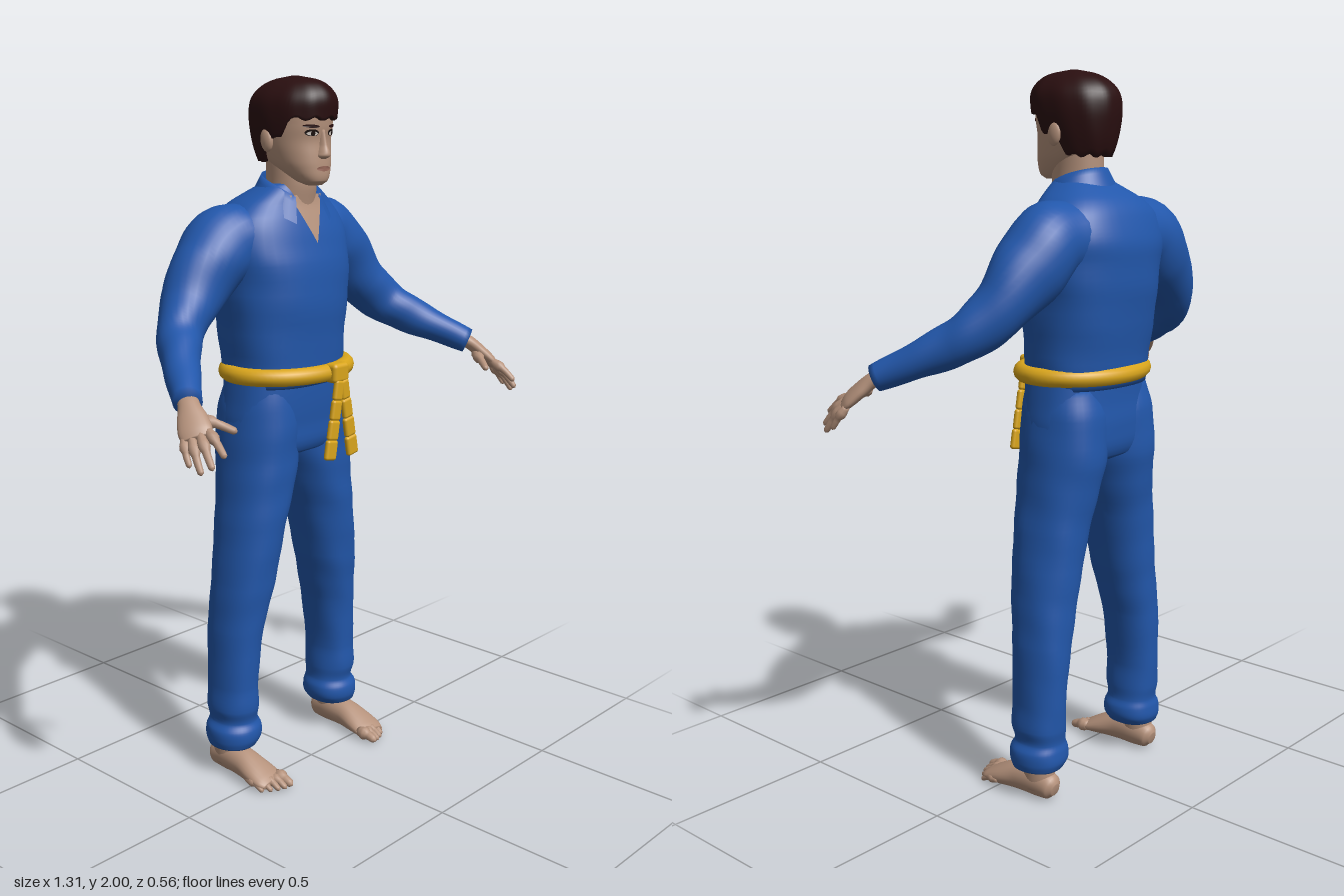
import * as THREE from 'three';
import { RoundedBoxGeometry } from 'three/addons/geometries/RoundedBoxGeometry.js';

const V = (x, y, z) => new THREE.Vector3(x, y, z);
const { lerp, smoothstep } = THREE.MathUtils;

// Grid surface from fn(u, v); wraps around u, with optional end caps
function grid(nu, nv, fn, wrap = true, caps = wrap) {
  const pos = [], idx = [], w = wrap ? nu : nu + 1;
  for (let j = 0; j <= nv; j++) for (let i = 0; i < w; i++) pos.push(...fn(i / nu, j / nv).toArray());
  for (let j = 0; j < nv; j++) for (let i = 0; i < nu; i++) {
    const a = j * w + i, b = j * w + (i + 1) % w;
    idx.push(a, b, b + w, a, b + w, a + w);
  }
  if (caps) for (const j of [0, nv]) {
    const c = V(0, 0, 0), k = pos.length / 3;
    for (let i = 0; i < w; i++) c.add(fn(i / nu, j / nv));
    pos.push(...c.divideScalar(w).toArray());
    for (let i = 0; i < w; i++) {
      const a = j * w + i, b = j * w + (i + 1) % w;
      j ? idx.push(a, b, k) : idx.push(b, a, k);
    }
  }
  const g = new THREE.BufferGeometry();
  g.setAttribute('position', new THREE.Float32BufferAttribute(pos, 3));
  g.setIndex(idx);
  g.computeVertexNormals();
  return g;
}

// Smooth interpolation of rows [y, x0, x1, z0, z1] at height y
function at(rows, y) {
  let i = 0;
  while (i < rows.length - 2 && y > rows[i + 1][0]) i++;
  const p = rows[i], q = rows[i + 1], o = rows[i - 1] || p, r = rows[i + 2] || q;
  const h = q[0] - p[0], t = (y - p[0]) / h, t2 = t * t, t3 = t2 * t;
  return p.map((_, k) => (2 * t3 - 3 * t2 + 1) * p[k] + (3 * t2 - 2 * t3) * q[k]
    + (t3 - 2 * t2 + t) * h * (q[k] - o[k]) / (q[0] - o[0]) + (t3 - t2) * h * (r[k] - p[k]) / (r[0] - p[0]));
}

// Point on the rounded outline at height y; angle 0 is the front
function ringPoint(rows, y, ang, n, k = 1) {
  const [, x0, x1, z0, z1] = at(rows, y), s = Math.sin(ang), c = Math.cos(ang);
  const f = v => Math.sign(v) * Math.abs(v) ** (2 / n) * k / 2;
  return V((x0 + x1) / 2 + f(s) * (x1 - x0), y, (z0 + z1) / 2 + f(c) * (z1 - z0));
}

// Upright body part from rows, with slight cloth folds
function stack(rows, n = 2.2, fold = 0, sub = 5) {
  const nv = (rows.length - 1) * sub;
  return grid(40, nv, (u, v) => {
    const j = Math.round(v * nv), i = Math.min(Math.floor(j / sub), rows.length - 2);
    const y = lerp(rows[i][0], rows[i + 1][0], j / sub - i), a = u * Math.PI * 2;
    return ringPoint(rows, y, a, n, 1 + fold * Math.sin(3 * a + 38 * y) * Math.sin(2 * a - 17 * y));
  });
}

// Limb along a path of [x, y, z, a, b]; a is the radius along the side axis
function limb(rows, side, nu = 24, nv = rows.length * 5, fold = 0) {
  const path = new THREE.CatmullRomCurve3(rows.map(r => V(r[0], r[1], r[2])));
  const rad = new THREE.CatmullRomCurve3(rows.map(r => V(r[3], r[4], 0)));
  return grid(nu, nv, (u, v) => {
    const T = path.getTangent(v), U = side.clone().addScaledVector(T, -side.dot(T)).normalize();
    const W = T.clone().cross(U), r = rad.getPoint(v), a = u * Math.PI * 2;
    const k = 1 + fold * Math.sin(2 * a + v * 34);
    return path.getPoint(v).addScaledVector(U, Math.cos(a) * r.x * k).addScaledVector(W, Math.sin(a) * r.y * k);
  });
}

// Finger or toe with rounded tip
function digit(p, m, q, r) {
  const e = V(...q).sub(V(...m)).normalize().multiplyScalar(r * 0.6).add(V(...q));
  return limb([[...p, r, r], [...m, r, r], [...q, r * 0.8, r * 0.8], [...e.toArray(), r * 0.25, r * 0.25]], V(0.7, 0.2, -0.7), 10, 12);
}

// Lay a flat shape over the front of a stacked part
function drape(g, rows, n, lift) {
  const p = g.attributes.position;
  for (let i = 0; i < p.count; i++) {
    const [, , a, z0, z1] = at(rows, p.getY(i)), x = Math.min(Math.abs(p.getX(i) / a), 1);
    p.setZ(i, (z0 + z1) / 2 + (z1 - z0) / 2 * (1 - x ** n) ** (1 / n) + lift);
  }
  g.computeVertexNormals();
  return g;
}

function mirror(g) {
  const m = g.clone().scale(-1, 1, 1), ix = m.index.array;
  for (let i = 0; i < ix.length; i += 3) [ix[i], ix[i + 1]] = [ix[i + 1], ix[i]];
  return m;
}

export function createModel() {
  const model = new THREE.Group();
  const mat = (name, color, side = THREE.FrontSide) => Object.assign(new THREE.MeshStandardMaterial({ color, side }), { name });
  const cloth = mat('blue cloth', 0x2257ab, THREE.DoubleSide), skin = mat('skin', 0xb5927c, THREE.DoubleSide);
  const yellow = mat('yellow belt', 0xd9a51c), hairMat = mat('dark brown hair', 0x2a0f10, THREE.DoubleSide);
  const lip = mat('lips', 0x96685a), white = mat('eye white', 0xd8d0c8), dark = mat('pupil', 0x1c1210);
  const add = (name, g, m) => {
    const mesh = new THREE.Mesh(g, m);
    mesh.name = name;
    model.add(mesh);
    return mesh;
  };
  const pair = (name, g, m) => { add('left' + name, g, m); add('right' + name, mirror(g), m); };
  const sym = rows => rows.map(([y, a, z0, z1]) => [y, -a, a, z0, z1]);

  // Jacket and trousers
  const torso = sym([[1.16, 0.185, -0.245, 0.03], [1.25, 0.19, -0.255, 0.03], [1.4, 0.203, -0.275, 0.04], [1.5, 0.215, -0.28, 0.032],
    [1.56, 0.22, -0.277, 0.018], [1.62, 0.2, -0.258, -0.002], [1.66, 0.16, -0.23, -0.016], [1.69, 0.115, -0.19, -0.022], [1.715, 0.075, -0.15, -0.03]]);
  add('jacketBody', stack(torso, 2.4, 0.012), cloth);
  add('hips', stack(sym([[0.945, 0.1, -0.18, -0.05], [0.97, 0.19, -0.225, 0.0], [1.05, 0.202, -0.238, 0.012], [1.12, 0.195, -0.235, 0.018], [1.2, 0.185, -0.235, 0.02]]), 2.5), cloth);
  pair('TrouserLeg', stack([[0.1, 0.175, 0.255, -0.17, -0.07], [0.092, 0.15, 0.282, -0.19, -0.045], [0.115, 0.135, 0.288, -0.2, -0.036],
    [0.145, 0.135, 0.287, -0.198, -0.036], [0.17, 0.145, 0.272, -0.192, -0.046], [0.21, 0.145, 0.278, -0.198, -0.038],
    [0.28, 0.15, 0.272, -0.2, -0.038], [0.44, 0.13, 0.268, -0.205, -0.03], [0.52, 0.11, 0.262, -0.205, -0.02],
    [0.6, 0.09, 0.255, -0.207, -0.01], [0.76, 0.055, 0.235, -0.215, 0.004], [0.87, 0.022, 0.22, -0.228, 0.01],
    [0.96, 0.002, 0.212, -0.242, 0.012], [1.08, 0.0, 0.2, -0.238, 0.012], [1.16, 0.02, 0.18, -0.22, 0.0]].slice(1), 2.2, 0.016), cloth);
  pair('Sleeve', limb([[0.06, 1.56, -0.14, 0.09, 0.09], [0.13, 1.565, -0.14, 0.1, 0.105], [0.2, 1.55, -0.142, 0.106, 0.104],
    [0.275, 1.485, -0.14, 0.1, 0.094], [0.355, 1.4, -0.12, 0.077, 0.074], [0.415, 1.34, -0.085, 0.066, 0.062],
    [0.46, 1.302, -0.035, 0.058, 0.055], [0.515, 1.262, 0.035, 0.047, 0.046], [0.575, 1.218, 0.118, 0.036, 0.038]], V(0, 1, 0), 28, 60, 0.025), cloth);

  // Open collar and bare chest
  const inner = [1.69, 0.05, 0.074, 0.076], top = [1.745, 0.065, 0.08, 0.078], outer = [1.685, 0.075, 0.118, 0.106];
  add('collar', grid(48, 8, (u, v) => {
    const ang = (u * 2 - 1) * 2.55, k = (u * 2 - 1) ** 2;
    const [y, drop, rx, rz] = top.map((t, i) => v < 0.5 ? lerp(inner[i], t, v * 2) : lerp(t, outer[i], v * 2 - 1));
    return V(Math.sin(ang) * rx, y - drop * k, -0.08 - Math.cos(ang) * rz);
  }, false), cloth);
  const chest = new THREE.PlaneGeometry(1, 0.13, 10, 12).translate(0, 1.62, 0);
  for (let i = 0, p = chest.attributes.position; i < p.count; i++) p.setX(i, p.getX(i) * (p.getY(i) - 1.555) * 0.95);
  add('openNeck', drape(chest, torso, 2.4, 0.005), skin);

  // Belt, knot and hanging ends
  const loop = [];
  for (let i = 0; i < 24; i++) {
    const a = i / 24 * Math.PI * 2;
    loop.push(V(Math.sin(a) * 0.19, 0, -0.096 + Math.cos(a) * 0.148));
  }
  add('belt', new THREE.TubeGeometry(new THREE.CatmullRomCurve3(loop, true), 72, 0.025, 12, true), yellow).position.y = 1.195;
  add('beltKnot', new RoundedBoxGeometry(0.062, 0.056, 0.045, 3, 0.012), yellow).position.set(0.032, 1.195, 0.068);
  for (const [name, x0, x1] of [['beltEndA', 0.02, -0.01], ['beltEndB', 0.046, 0.077]]) for (let i = 0; i < 4; i++) {
    const m = add(name, new RoundedBoxGeometry(0.034 + i * 0.003, 0.058, 0.017, 3, 0.008), yellow);
    m.position.set(lerp(x0, x1, i / 3), 1.147 - i * 0.056, 0.084);
    m.rotation.z = Math.atan2(x1 - x0, 0.17);
  }

  // Head and neck
  const head = sym([[1.712, 0.022, -0.01, 0.03], [1.725, 0.045, -0.05, 0.044], [1.76, 0.07, -0.115, 0.046], [1.79, 0.081, -0.15, 0.044],
    [1.83, 0.089, -0.17, 0.04], [1.87, 0.092, -0.18, 0.046], [1.92, 0.09, -0.175, 0.044], [1.96, 0.068, -0.15, 0.015], [1.98, 0.03, -0.1, -0.03]]);
  add('head', stack(head, 2.2), skin);
  add('neck', stack(sym([[1.6, 0.075, -0.15, -0.02], [1.66, 0.068, -0.148, -0.01], [1.72, 0.064, -0.15, 0.0], [1.8, 0.066, -0.15, -0.01]]), 2), skin);
  add('nose', stack(sym([[1.782, 0.008, 0.02, 0.05], [1.789, 0.019, 0.01, 0.063], [1.8, 0.017, 0.01, 0.064], [1.82, 0.011, 0.01, 0.056], [1.86, 0.008, 0.01, 0.047]]), 2), skin);
  pair('Ear', new THREE.SphereGeometry(1, 16, 12).scale(0.012, 0.032, 0.021).rotateX(-0.15).translate(0.096, 1.832, -0.075), skin);

  // Face details as thin plates
  const spot = (x, y, rx, ry, tilt, lift) =>
    drape(new THREE.CircleGeometry(1, 24).scale(rx, ry, 1).rotateZ(tilt).translate(x, y, 0), head, 2.2, lift);
  pair('EyeRim', spot(0.037, 1.852, 0.019, 0.009, 0.05, 0.002), dark);
  pair('EyeWhite', spot(0.037, 1.85, 0.015, 0.0055, 0.05, 0.0035), white);
  pair('Pupil', spot(0.037, 1.85, 0.006, 0.006, 0, 0.005), dark);
  pair('Eyebrow', spot(0.04, 1.869, 0.022, 0.0045, 0.06, 0.003), hairMat);
  add('mouth', spot(0, 1.757, 0.026, 0.007, 0, 0.003), lip);

  // Hair with fringe, sideburns and low nape
  const hair = sym([[1.75, 0.072, -0.165, 0.03], [1.8, 0.088, -0.186, 0.045], [1.85, 0.1, -0.197, 0.054], [1.9, 0.105, -0.202, 0.062],
    [1.94, 0.099, -0.195, 0.064], [1.97, 0.077, -0.168, 0.046], [1.99, 0.046, -0.125, 0.01], [2.0, 0.006, -0.07, -0.05]]);
  add('hair', grid(72, 24, (u, v) => {
    const a = u * Math.PI * 2, c = -Math.cos(a);
    const low = 1.888 - 0.052 * smoothstep(c, -0.55, -0.3) - 0.06 * smoothstep(c, -0.05, 0.35) + 0.005 * Math.sin(13 * a);
    const y = lerp(low, 2, Math.sin(Math.max(v - 1 / 24, 0) * 24 / 23 * Math.PI / 2));
    return ringPoint(hair, y, a, 2.1, (v === 0 ? 0.86 : 1) * (1 + 0.008 * Math.sin(11 * a + 20 * y)));
  }), hairMat);

  // Hands
  pair('Palm', limb([[0.555, 1.232, 0.092, 0.027, 0.022], [0.578, 1.212, 0.125, 0.028, 0.02], [0.593, 1.188, 0.152, 0.038, 0.019],
    [0.607, 1.163, 0.178, 0.043, 0.017], [0.615, 1.146, 0.194, 0.038, 0.012]], V(-0.68, 0.2, 0.7)), skin);
  [[[0.572, 1.182, 0.15], [0.547, 1.172, 0.19], [0.522, 1.155, 0.228], 0.0115],
    [[0.588, 1.165, 0.2], [0.595, 1.142, 0.24], [0.6, 1.115, 0.272], 0.0105],
    [[0.606, 1.158, 0.195], [0.62, 1.122, 0.23], [0.628, 1.088, 0.258], 0.0105],
    [[0.622, 1.15, 0.182], [0.637, 1.11, 0.212], [0.644, 1.075, 0.236], 0.01],
    [[0.632, 1.146, 0.165], [0.645, 1.115, 0.185], [0.65, 1.088, 0.202], 0.009]].forEach(f => pair('Finger', digit(...f), skin));

  // Feet
  pair('Ankle', stack([[0.03, 0.188, 0.26, -0.18, -0.07], [0.08, 0.185, 0.262, -0.178, -0.075], [0.16, 0.18, 0.262, -0.175, -0.075]], 2), skin);
  pair('Foot', limb([[0.223, 0.036, -0.19, 0.015, 0.018], [0.223, 0.04, -0.175, 0.033, 0.036], [0.223, 0.048, -0.12, 0.04, 0.046],
    [0.224, 0.044, -0.06, 0.042, 0.042], [0.224, 0.032, -0.005, 0.05, 0.031], [0.222, 0.022, 0.035, 0.051, 0.02], [0.22, 0.017, 0.055, 0.042, 0.012]], V(1, 0, 0)), skin);
  for (let i = 0; i < 5; i++) {
    const x = 0.187 + i * 0.0195, r = i ? 0.0105 - i * 0.0004 : 0.0145, z = 0.09 - i * i * 0.0024;
    pair('Toe', digit([x, 0.024, z - 0.06], [x, 0.021, z - 0.025], [x, r, z], r), skin);
  }
  return model;
}
